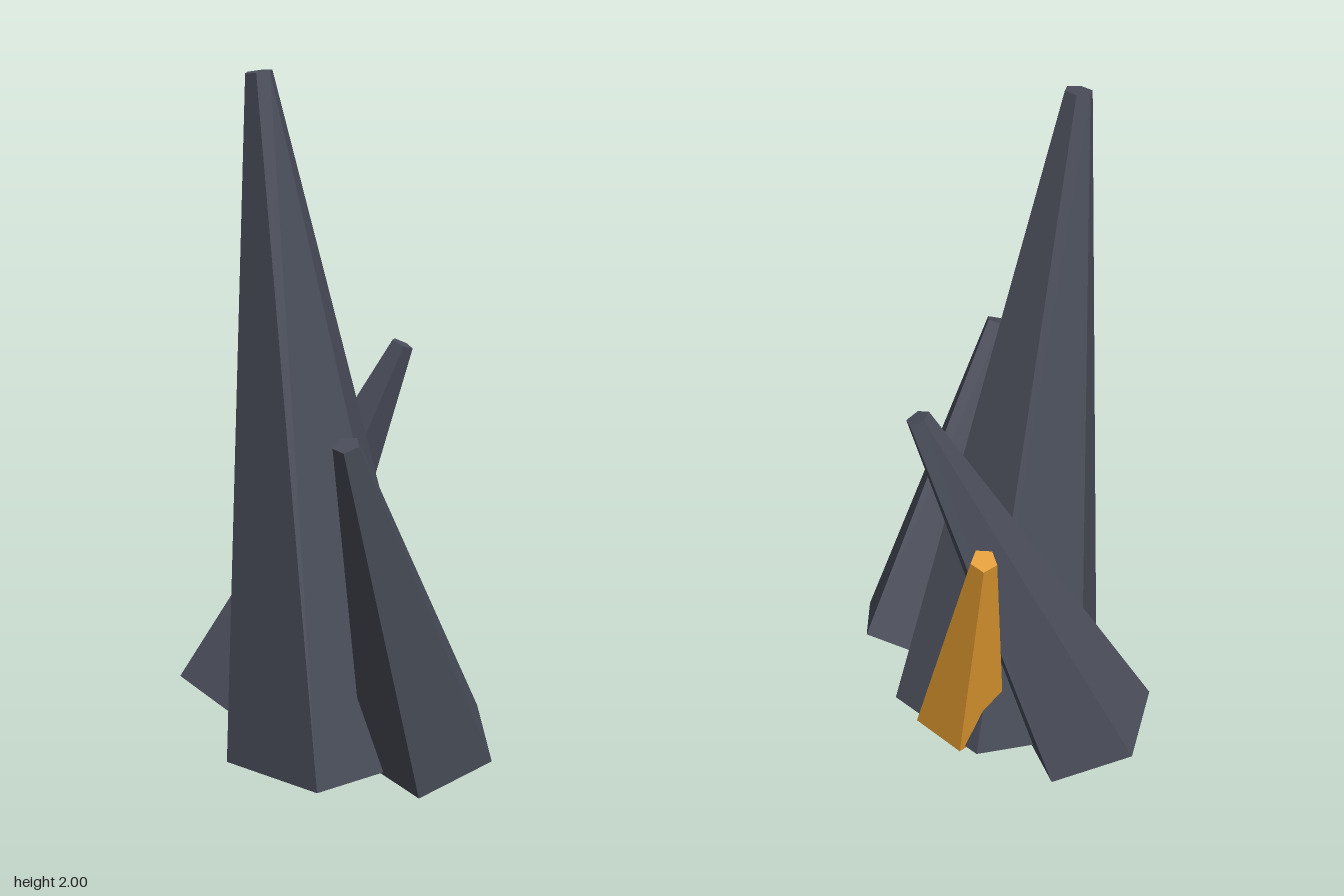
import * as THREE from 'three';

const slate = new THREE.MeshStandardMaterial({ color: 0x4a4e5a, flatShading: true });
slate.name = 'slate';
const amber = new THREE.MeshStandardMaterial({ color: 0xe09a30, flatShading: true });
amber.name = 'amber';

// A tapered prism from base centre to tip centre, spun so one base corner points at `corner`
function shard(name, material, sides, base, tip, baseRadius, tipRadius, corner) {
  const a = new THREE.Vector3(...base);
  const b = new THREE.Vector3(...tip);
  const axis = b.clone().sub(a);
  const length = axis.length();
  axis.normalize();
  const z = new THREE.Vector3(...corner).sub(a).projectOnPlane(axis).normalize();
  const x = new THREE.Vector3().crossVectors(axis, z);

  const geometry = new THREE.CylinderGeometry(tipRadius, baseRadius, length, sides);
  geometry.translate(0, length / 2, 0);
  const mesh = new THREE.Mesh(geometry, material);
  mesh.name = name;
  mesh.quaternion.setFromRotationMatrix(new THREE.Matrix4().makeBasis(x, axis, z));
  mesh.position.copy(a);
  return mesh;
}

export function createModel() {
  const group = new THREE.Group();
  group.name = 'crystalCluster';
  group.add(
    // Tall central spire
    shard('mainSpire', slate, 6, [0, 0.05, -0.05], [-0.168, 1.996, 0.156], 0.341, 0.038, [0, 0.02, 0.29]),
    // Spire leaning across the back
    shard('backSpire', slate, 5, [-0.315, 0.093, -0.226], [0.18, 1.21, -0.243], 0.218, 0.035, [-0.465, 0.158, -0.37]),
    // Spire leaning out to the front
    shard('frontSpire', slate, 5, [0.305, 0.088, 0.097], [0.105, 1.08, 0.473], 0.2, 0.037, [0.483, 0.105, 0.187]),
    // Small glowing-coloured crystal at the back
    shard('amberCrystal', amber, 5, [0.08, 0.112, -0.245], [-0.047, 0.945, -0.475], 0.14, 0.037, [0.2, 0.115, -0.315])
  );
  return group;
}
